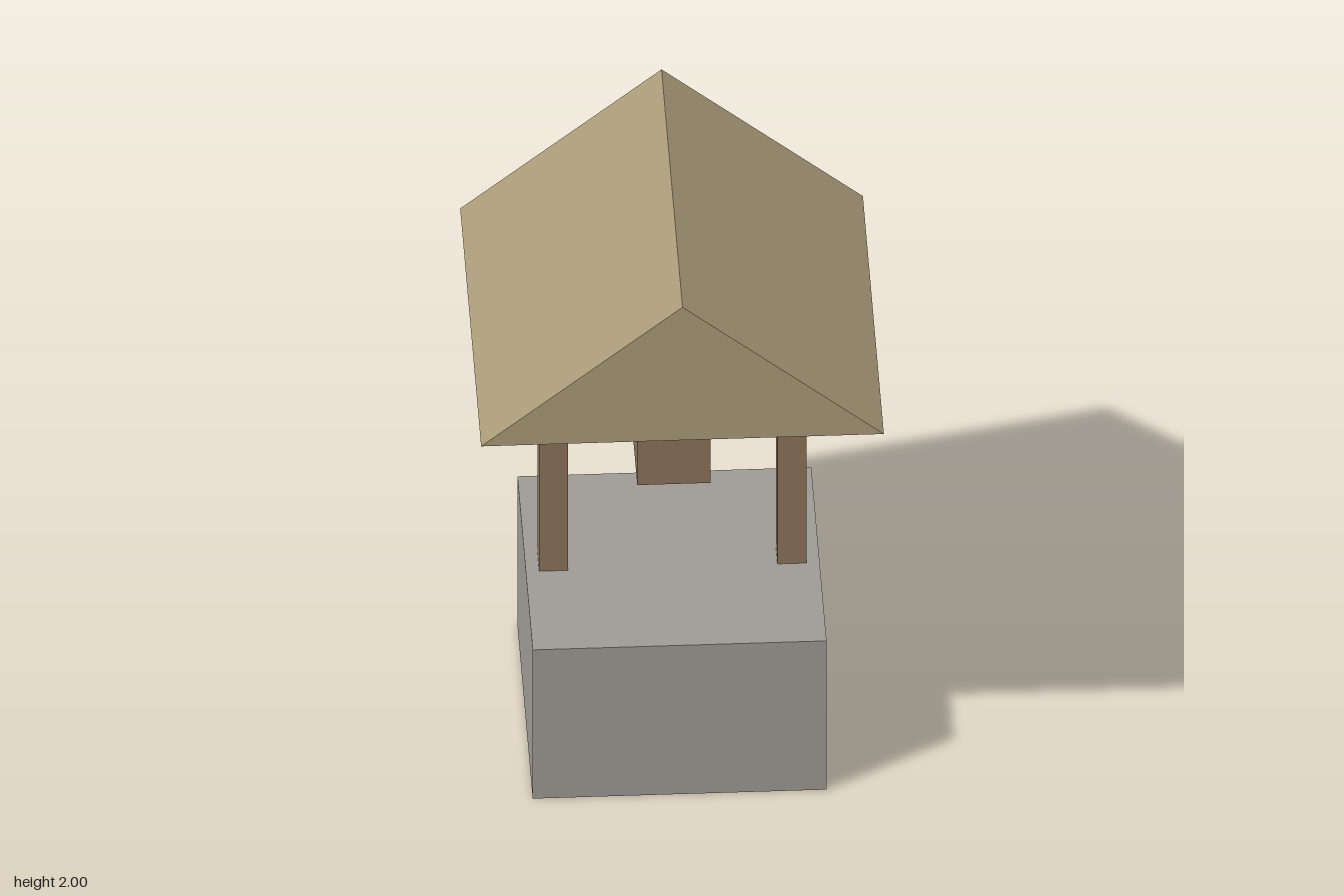
import * as THREE from 'three';

const flat = (name, color) => {
  const m = new THREE.MeshStandardMaterial({ color });
  m.name = name;
  return m;
};

export function createModel() {
  const stone = flat('stone', 0x9e9a94);
  const wood = flat('wood', 0x8b745a);
  const thatch = flat('thatch', 0xa99a78);
  const well = new THREE.Group();
  well.name = 'well';

  const add = (name, geometry, material, x = 0, y = 0, z = 0) => {
    const mesh = new THREE.Mesh(geometry, material);
    mesh.name = name;
    mesh.position.set(x, y, z);
    well.add(mesh);
  };

  // Square stone base
  const baseTop = 0.573, eaves = 1.488;
  add('base', new THREE.BoxGeometry(0.915, baseTop, 0.915), stone, 0, baseTop / 2);

  // Two posts carrying the roof
  const postHeight = eaves - baseTop;
  for (const [name, side] of [['leftPost', 1], ['rightPost', -1]]) {
    add(name, new THREE.BoxGeometry(0.09, postHeight, 0.09), wood, side * 0.371, baseTop + postHeight / 2);
  }

  // Hanging bucket
  add('bucket', new THREE.BoxGeometry(0.228, 0.286, 0.228), wood, 0, 1.087);

  // Gabled roof, ridge running front to back
  const half = 0.627;
  const gable = new THREE.Shape([
    new THREE.Vector2(-half, eaves),
    new THREE.Vector2(half, eaves),
    new THREE.Vector2(0, 2),
  ]);
  const roof = new THREE.ExtrudeGeometry(gable, { depth: 2 * half, bevelEnabled: false });
  add('roof', roof, thatch, 0, 0, -half);

  return well;
}
